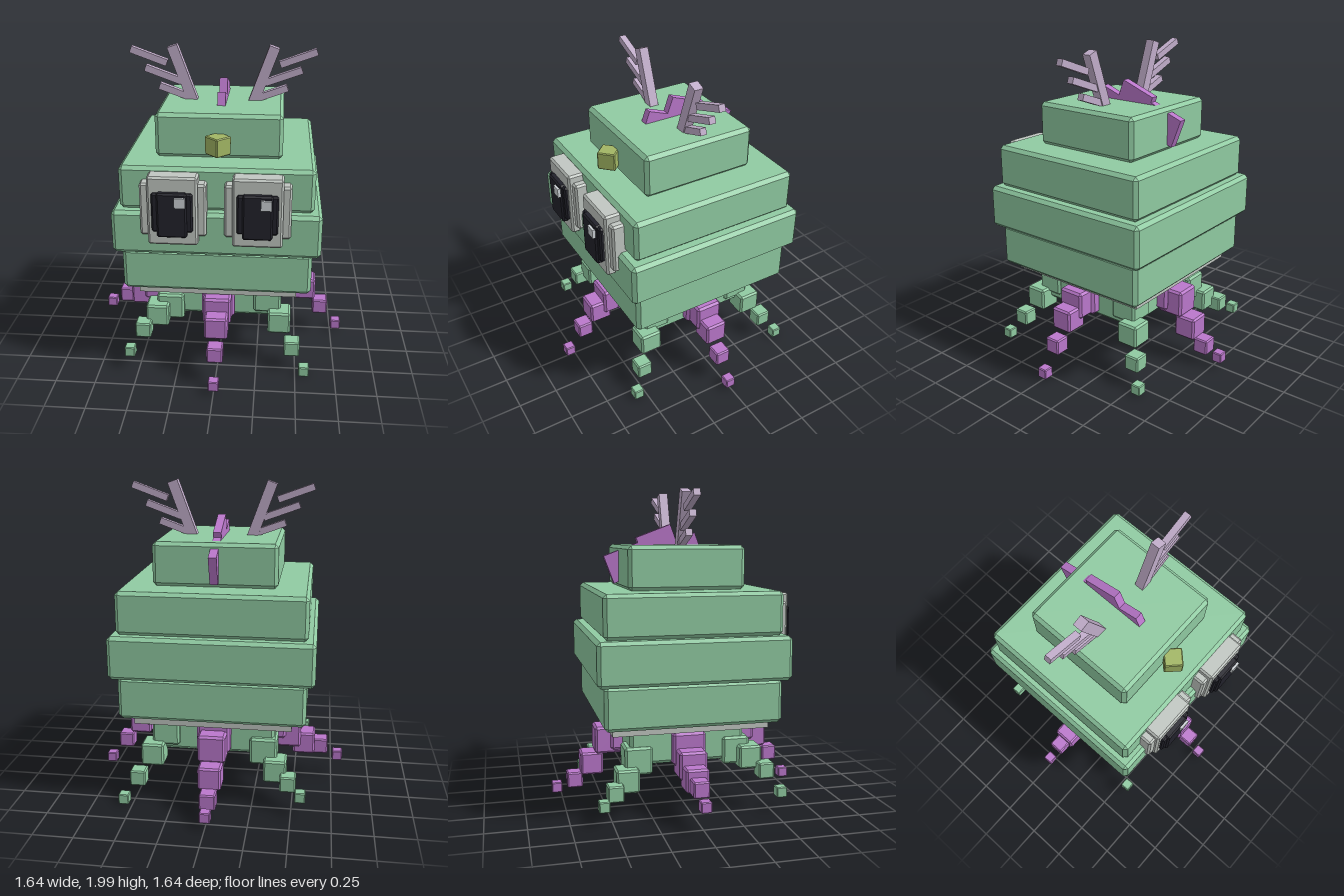
import * as THREE from 'three';
import { ConvexGeometry } from 'three/addons/geometries/ConvexGeometry.js';

const mat = (name, color) => {
  const m = new THREE.MeshStandardMaterial({ color });
  m.name = name;
  return m;
};

// Box with flat chamfered edges: three points per corner
function chamferBox(w, h, d, b) {
  const pts = [];
  for (const sx of [-1, 1]) for (const sy of [-1, 1]) for (const sz of [-1, 1]) {
    const x = w / 2, y = h / 2, z = d / 2;
    pts.push(
      new THREE.Vector3(sx * x, sy * (y - b), sz * (z - b)),
      new THREE.Vector3(sx * (x - b), sy * y, sz * (z - b)),
      new THREE.Vector3(sx * (x - b), sy * (y - b), sz * z));
  }
  return new ConvexGeometry(pts);
}

export function createModel() {
  const green = mat('leaf green', 0x90cba2);
  const purple = mat('orchid purple', 0xbb78cc);
  const grey = mat('pale grey', 0xc1c7c2);
  const black = mat('eye black', 0x22222b);
  const mauve = mat('antler mauve', 0xc2aecb);
  const olive = mat('beak olive', 0xa2b664);
  const shine = mat('eye shine', 0xcdd2d6);

  const model = new THREE.Group();
  model.name = 'owlCreature';
  const add = (parent, name, geo, material, x, y, z) => {
    const m = new THREE.Mesh(geo, material);
    m.name = name;
    m.position.set(x, y, z);
    parent.add(m);
    return m;
  };
  const group = (name, parent = model) => {
    const g = new THREE.Group();
    g.name = name;
    parent.add(g);
    return g;
  };

  // Stacked body tiers: name, bottom, top, width, depth
  for (const [name, y0, y1, w, d] of [
    ['lowerCore', 0.31, 0.56, 0.764, 0.73],
    ['lowerTier', 0.58, 0.85, 1.154, 1.095],
    ['middleTier', 0.848, 1.12, 1.25, 1.186],
    ['upperTier', 1.12, 1.387, 1.154, 1.095],
    ['headTop', 1.387, 1.657, 0.764, 0.73],
  ]) add(model, name, chamferBox(w, y1 - y0, d, 0.022), green, 0, (y0 + y1) / 2, 0);
  add(model, 'basePlate', new THREE.BoxGeometry(0.98, 0.07, 0.98), grey, 0, 0.565, 0);

  // Tentacles: chains of shrinking cubes, given as direction and heights
  const sizes = [0.21, 0.175, 0.145, 0.1, 0.066];
  const cubes = sizes.map((s) => chamferBox(s, s, s, s * 0.08));
  const straight = [0.335, 0.452, 0.56, 0.67, 0.786];
  const diagonal = [0.235, 0.312, 0.39, 0.475, 0.555];
  const tentacle = (name, material, steps, dx, dz, heights) => {
    const g = group(name);
    heights.forEach((y, i) =>
      add(g, 'tentacleCube', cubes[i], material, dx * steps[i], y, dz * steps[i]));
  };
  tentacle('frontTentacle', purple, straight, 0, 1, [0.44, 0.43, 0.36, 0.225, 0.07]);
  tentacle('backTentacle', purple, straight, 0, -1, [0.44, 0.4, 0.245, 0.135, 0.088]);
  tentacle('leftTentacle', purple, straight, 1, 0, [0.44, 0.43, 0.35, 0.205, 0.057]);
  tentacle('rightTentacle', purple, straight, -1, 0, [0.41, 0.33, 0.265, 0.24, 0.17]);
  tentacle('frontLeftTentacle', green, diagonal, 1, 1, [0.45, 0.445, 0.315, 0.165, 0.043]);
  tentacle('backLeftTentacle', green, diagonal, 1, -1, [0.45, 0.44, 0.305, 0.165, 0.045]);
  tentacle('frontRightTentacle', green, diagonal, -1, 1, [0.43, 0.37, 0.335, 0.26, 0.135]);
  tentacle('backRightTentacle', green, diagonal, -1, -1, [0.43, 0.34, 0.235, 0.185, 0.135]);

  // Eyes: crossed frames, layered pupil and a small shine on the same side
  for (const s of [1, -1]) {
    const eye = group(s > 0 ? 'leftEye' : 'rightEye');
    eye.position.set(s * 0.247, 1.15, 0);
    add(eye, 'wideFrame', chamferBox(0.39, 0.325, 0.12, 0.012), grey, 0, 0, 0.562);
    add(eye, 'tallFrame', chamferBox(0.295, 0.425, 0.13, 0.012), grey, 0, 0, 0.58);
    add(eye, 'pupil', chamferBox(0.24, 0.24, 0.06, 0.01), black, 0, 0, 0.637);
    add(eye, 'pupilCore', chamferBox(0.175, 0.275, 0.06, 0.01), black, 0, -0.012, 0.65);
    add(eye, 'shine', new THREE.BoxGeometry(0.063, 0.06, 0.03), shine, 0.05, 0.074, 0.68);
  }

  // Beak: small block turned corner first
  const beak = add(model, 'beak', chamferBox(0.112, 0.112, 0.112, 0.006), olive, 0, 1.485, 0.41);
  beak.rotation.y = Math.PI / 4;

  // Antlers: a leaning beam and three tines, mirrored
  const tilt = 0.35;
  for (const s of [1, -1]) {
    const antler = group(s > 0 ? 'leftAntler' : 'rightAntler');
    const beam = add(antler, 'antlerBeam', new THREE.BoxGeometry(0.066, 0.38, 0.058),
      mauve, s * 0.251, 1.81, 0);
    beam.rotation.z = -s * tilt;
    for (const [x, y, len] of [[0.463, 1.922, 0.24], [0.375, 1.808, 0.24], [0.3, 1.7, 0.215]]) {
      const tine = add(antler, 'antlerTine', new THREE.BoxGeometry(len, 0.042, 0.042),
        mauve, s * x, y, 0);
      tine.rotation.z = s * tilt;
    }
  }

  // Crest: three tilted plates along the head
  const crest = group('crest');
  for (const [y, z] of [[1.605, 0.058], [1.658, -0.105], [1.542, -0.315]]) {
    add(crest, 'crestPlate', new THREE.BoxGeometry(0.05, 0.186, 0.24), purple, 0, y, z)
      .rotation.x = -0.36;
  }
  return model;
}
